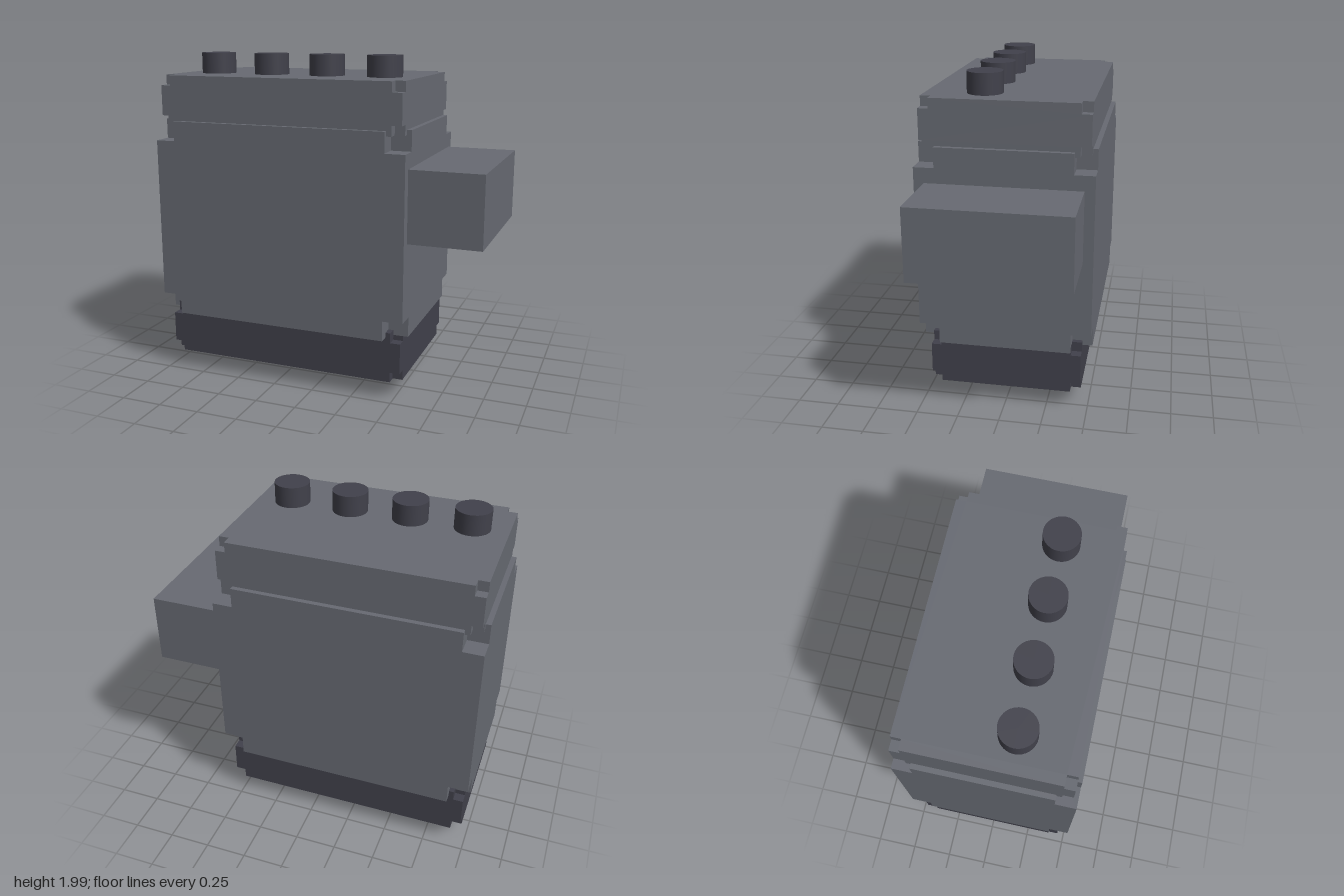
import * as THREE from 'three';
import { mergeGeometries } from 'three/addons/utils/BufferGeometryUtils.js';

// Box spanning x0..x1, y0..y1 and +-d in z, with a cube of size n cut from every corner
function notchedBox(x0, x1, y0, y1, d, n) {
  const w = (x1 - x0) / 2;
  const cross = new THREE.Shape([
    [-w + n, -d], [w - n, -d], [w - n, -d + n], [w, -d + n],
    [w, d - n], [w - n, d - n], [w - n, d], [-w + n, d],
    [-w + n, d - n], [-w, d - n], [-w, -d + n], [-w + n, -d + n],
  ].map(([x, y]) => new THREE.Vector2(x, y)));
  const slab = (y) => new THREE.ExtrudeGeometry(cross, { depth: n, bevelEnabled: false })
    .rotateX(-Math.PI / 2).translate(0, y, 0);
  const middle = new THREE.BoxGeometry(2 * w, y1 - y0 - 2 * n, 2 * d)
    .toNonIndexed().translate(0, (y0 + y1) / 2, 0);
  return mergeGeometries([slab(y0), middle, slab(y1 - n)]).translate((x0 + x1) / 2, 0, 0);
}

export function createModel() {
  const model = new THREE.Group();
  model.name = 'controlBox';
  const material = (name, color) => {
    const m = new THREE.MeshStandardMaterial({ color });
    m.name = name;
    return m;
  };
  const grey = material('casing grey', 0x676a72);
  const dark = material('dark grey', 0x41414b);
  const metal = material('light metal', 0x989fab);

  const add = (name, geometry, mat, x = 0, y = 0, z = 0) => {
    const mesh = new THREE.Mesh(geometry, mat);
    mesh.name = name;
    mesh.position.set(x, y, z);
    model.add(mesh);
  };

  // Stacked casing
  add('mainBody', notchedBox(-1, 0.57, 0.385, 1.595, 0.515, 0.12), grey);
  add('upperCasing', notchedBox(-0.97, 0.54, 1.565, 1.865, 0.485, 0.06), grey);
  add('base', notchedBox(-0.97, 0.54, 0.11, 0.415, 0.455, 0.06), dark);

  // Block sticking out of the left side
  add('sideBlock', new THREE.BoxGeometry(0.45, 0.425, 0.91), grey, 0.775, 1.1725, 0);

  // Row of buttons on top and half-sunk wheels underneath
  const button = new THREE.CylinderGeometry(0.105, 0.105, 0.155, 32);
  const wheel = new THREE.CylinderGeometry(0.135, 0.135, 0.09, 32).rotateZ(Math.PI / 2);
  for (let i = 0; i < 4; i++) {
    add(`button${i + 1}`, button, dark, -0.76 + i * 0.363, 1.9125, 0.145);
    add(`wheel${i + 1}`, wheel, metal, -0.52 + i * 0.272, 0.135, 0);
  }
  return model;
}
